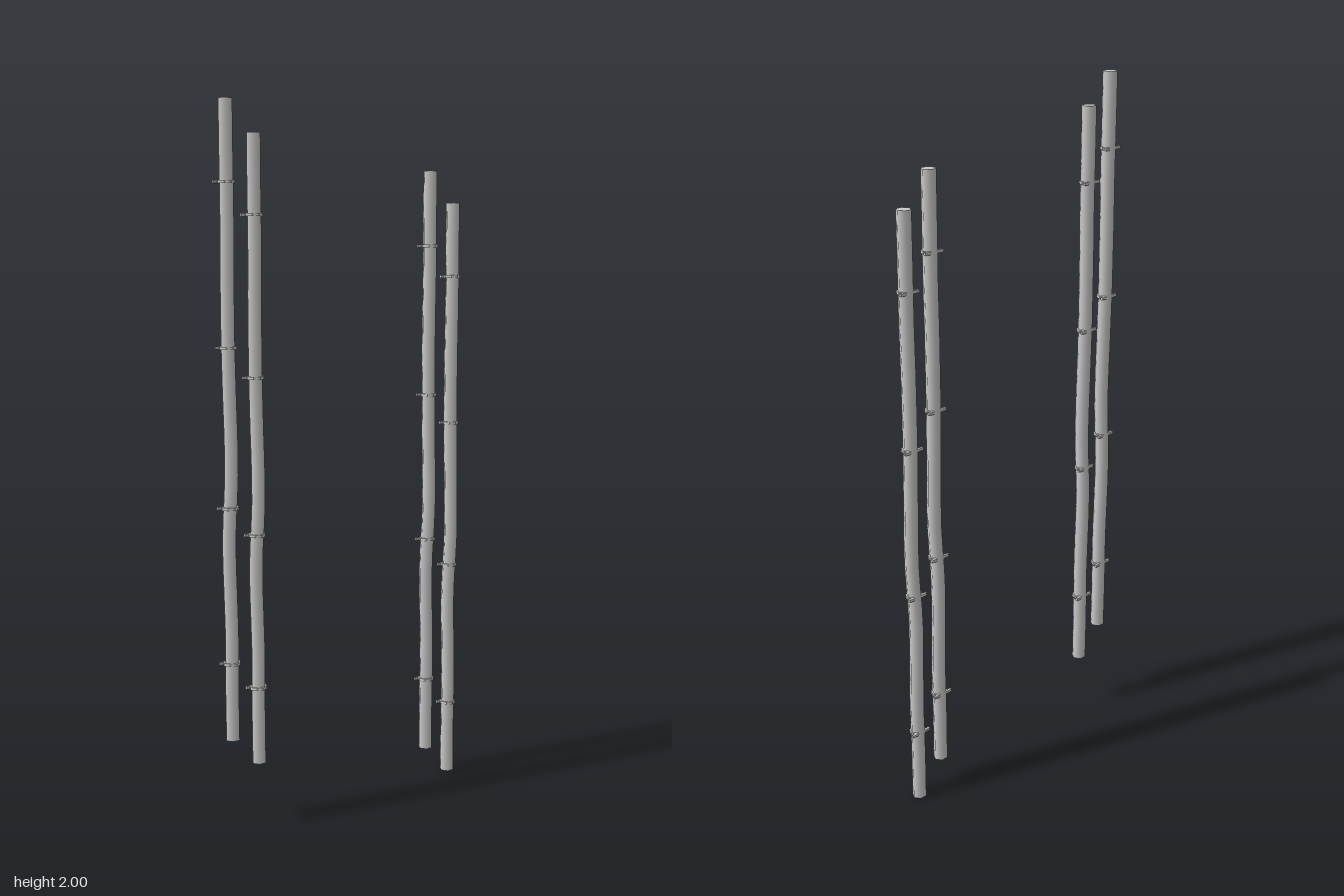
import * as THREE from 'three';

const LENGTH = 1.738, RADIUS = 0.021, AXIS_X = -0.003;

// Sideways drift of a pipe's centre: [height, z offset]
const BENDS = [[0, 0], [0.15, 0.001], [0.3, -0.001], [0.42, 0.002], [0.52, 0.005], [0.6, 0.004],
  [0.68, -0.002], [0.76, -0.006], [0.85, -0.005], [0.95, -0.002], [1.1, 0.001], [1.3, 0.001], [1.45, -0.001], [1.6, 0], [LENGTH, 0]];

function driftAt(h) {
  for (let i = 1; i < BENDS.length; i++) {
    const [h0, z0] = BENDS[i - 1], [h1, z1] = BENDS[i];
    if (h <= h1) return THREE.MathUtils.lerp(z0, z1, (h - h0) / (h1 - h0));
  }
  return 0;
}

// Six-sided pipe with slightly uneven bends along its length
function pipeGeometry() {
  const geo = new THREE.CylinderGeometry(RADIUS, RADIUS, LENGTH, 6, 28);
  geo.translate(0, LENGTH / 2, 0);
  const p = geo.attributes.position;
  for (let i = 0; i < p.count; i++) p.setZ(i, p.getZ(i) + driftAt(p.getY(i)));
  return geo;
}

// Thin clamp: a wall plate with a faceted strap around the pipe
function clampGeometry() {
  const half = [[-0.018, 0.032], [-0.011, 0.032], [-0.011, 0.021], [-0.008, 0.021],
    [-0.001, 0.026], [0.017, 0.017]];
  const outline = [...half, [0.024, 0], ...half.map(([x, z]) => [x, -z]).reverse()];
  const shape = new THREE.Shape(outline.map(([x, z]) => new THREE.Vector2(x, z)));
  const geo = new THREE.ExtrudeGeometry(shape, { depth: 0.008, bevelEnabled: false });
  geo.rotateX(-Math.PI / 2);
  geo.translate(0, -0.004, 0);
  return geo;
}

export function createModel() {
  const model = new THREE.Group();
  model.name = 'wallPipes';
  const material = new THREE.MeshStandardMaterial({ color: 0xcccccc });
  const pipeGeo = pipeGeometry(), clampGeo = clampGeometry();

  // Two pairs of pipes, each pipe stepped lower than the last
  [[0.39, 0.262], [0.304, 0.177], [-0.304, 0.09], [-0.391, 0]].forEach(([z, y], i) => {
    const unit = new THREE.Group();
    unit.name = `pipeUnit${i + 1}`;
    unit.position.set(AXIS_X, y, z);

    const pipe = new THREE.Mesh(pipeGeo, material);
    pipe.name = 'pipe';
    unit.add(pipe);

    for (let k = 0; k < 4; k++) {
      const clamp = new THREE.Mesh(clampGeo, material);
      clamp.name = `clamp${k + 1}`;
      clamp.position.set(0, 0.219 + k * 0.435, 0);
      unit.add(clamp);
    }
    model.add(unit);
  });
  return model;
}
